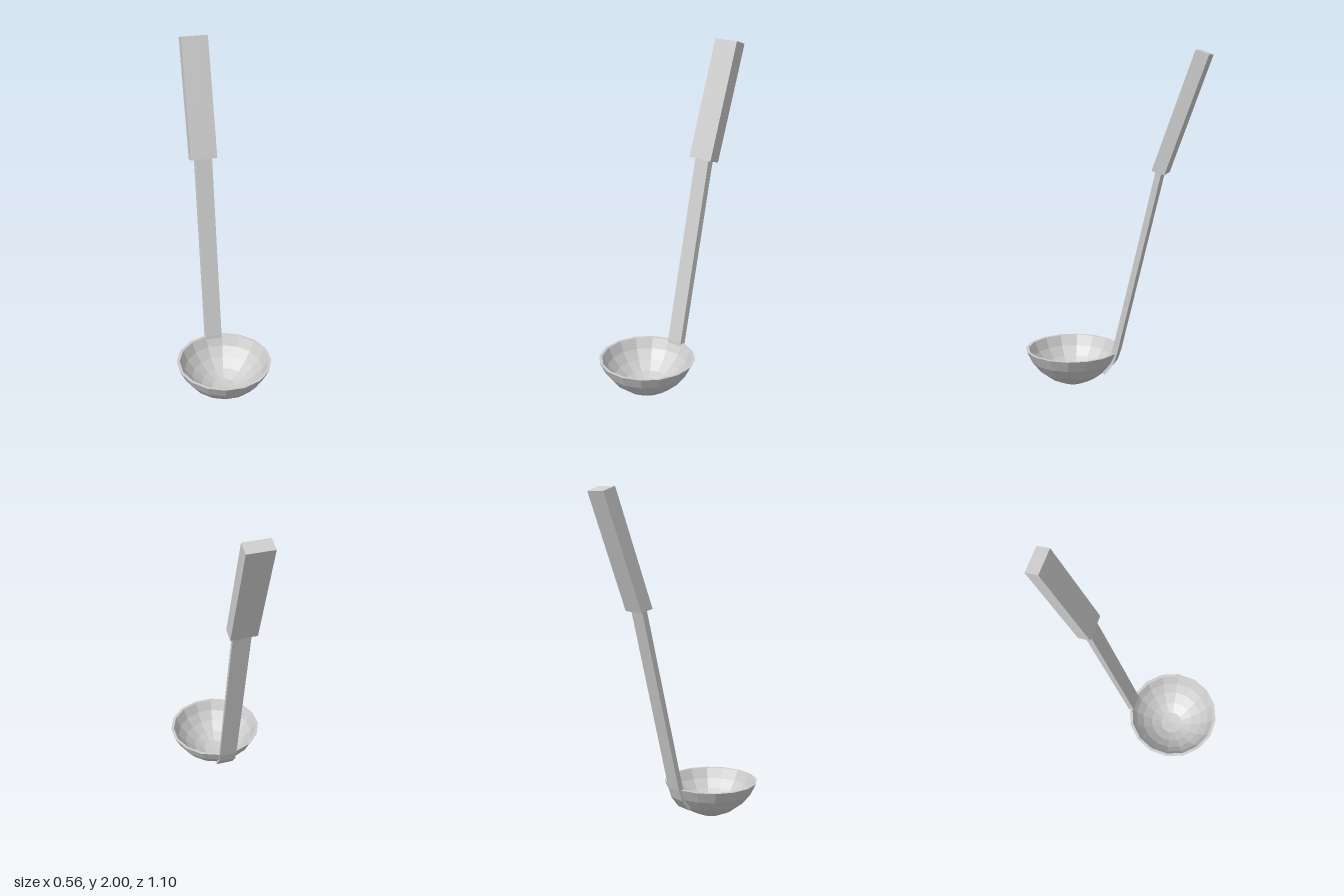
import * as THREE from 'three';

const SIDES = 16;

// Lofts a closed bar through four-cornered sections:
// [front z, front y, back z, back y, front half-width, back half-width]
function loftBar(sections, cx) {
  const pos = [], index = [];
  for (const [zf, yf, zb, yb, wf, wb] of sections) {
    pos.push(cx - wf, yf, zf, cx + wf, yf, zf, cx + wb, yb, zb, cx - wb, yb, zb);
  }
  for (let s = 0; s < sections.length - 1; s++) {
    for (let i = 0; i < 4; i++) {
      const a = s * 4 + i, b = s * 4 + (i + 1) % 4;
      index.push(a, b, b + 4, a, b + 4, a + 4);
    }
  }
  const t = (sections.length - 1) * 4;
  index.push(0, 2, 1, 0, 3, 2, t, t + 1, t + 2, t, t + 2, t + 3);
  const geo = new THREE.BufferGeometry();
  geo.setAttribute('position', new THREE.Float32BufferAttribute(pos, 3));
  geo.setIndex(index);
  geo.computeVertexNormals();
  return geo;
}

export function createModel() {
  const group = new THREE.Group();
  group.name = 'ladle';
  const material = new THREE.MeshStandardMaterial({ color: 0xcccccc, flatShading: true });
  const add = (name, geometry, mat = material) => {
    const mesh = new THREE.Mesh(geometry, mat);
    mesh.name = name;
    group.add(mesh);
    return mesh;
  };

  // Bowl: outer wall up to the rim, then back down the inside
  const profile = [
    [0, 0], [0.07, 0.008], [0.14, 0.04], [0.203, 0.088], [0.252, 0.15], [0.285, 0.218],
    [0.267, 0.218], [0.237, 0.158], [0.192, 0.104], [0.134, 0.058], [0.07, 0.028], [0, 0.022],
  ].map(([r, y]) => new THREE.Vector2(r, y));
  const bowlMaterial = material.clone();
  bowlMaterial.side = THREE.DoubleSide;
  const bowl = add('bowl', new THREE.LatheGeometry(profile, SIDES, Math.PI / SIDES), bowlMaterial);
  bowl.position.z = 0.27;

  // Shaft: bent tongue against the bowl, then a straight tapered bar into the grip
  add('shaft', loftBar([
    [0.072, 0.092, 0.056, 0.08, 0.049, 0.054],
    [0.022, 0.155, 0.003, 0.148, 0.049, 0.054],
    [0.013, 0.22, -0.02, 0.215, 0.049, 0.054],
    [-0.253, 1.35, -0.288, 1.34, 0.049, 0.054],
  ], -0.002));

  // Grip: plain block leaning slightly further back
  add('grip', loftBar([
    [-0.228, 1.325, -0.302, 1.302, 0.079, 0.079],
    [-0.47, 2.0, -0.546, 1.974, 0.079, 0.079],
  ], -0.004));

  return group;
}
